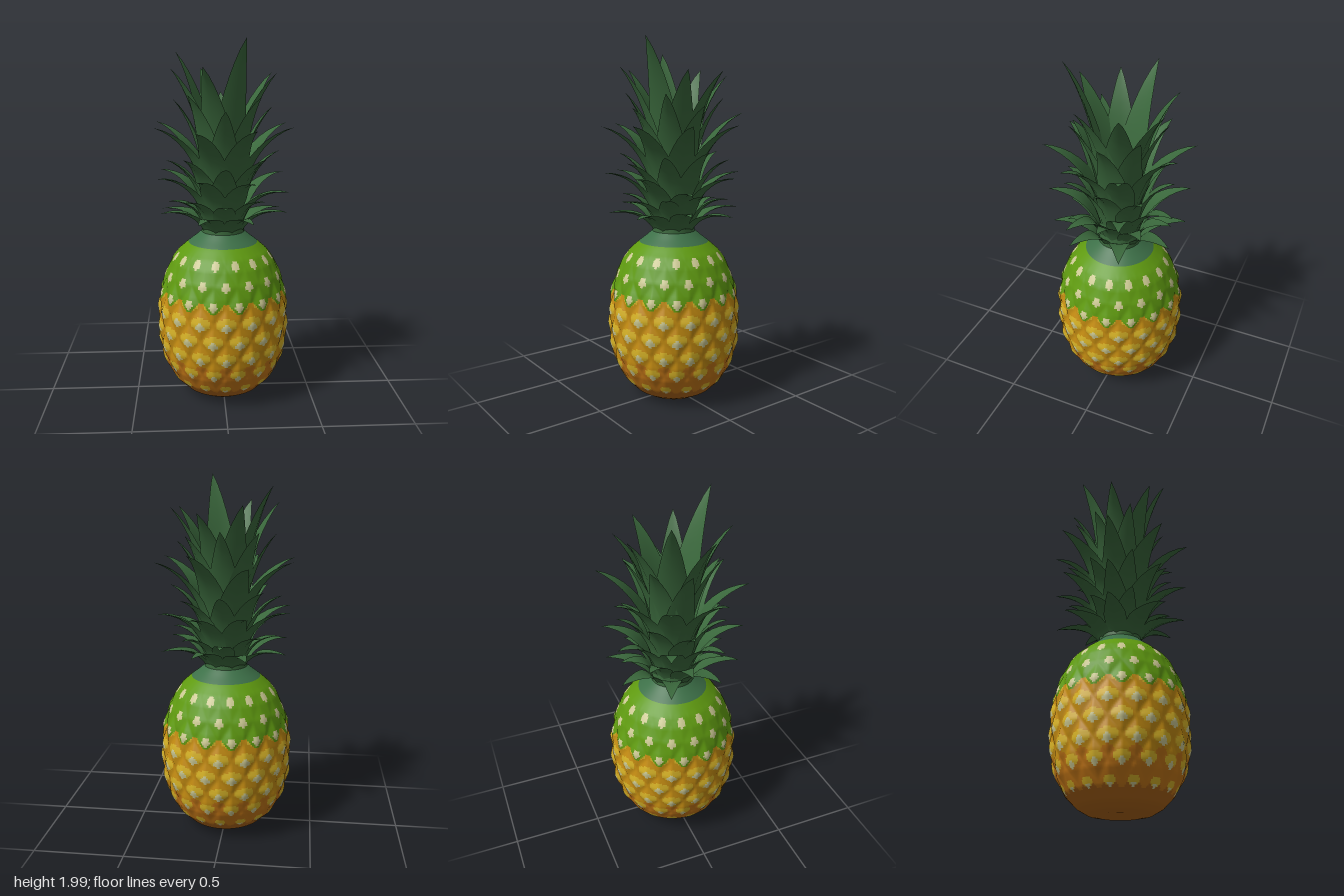
import * as THREE from 'three';

const paint = (name, color) => {
  const m = new THREE.MeshStandardMaterial({ color });
  m.name = name;
  return m;
};

// Fruit outline as [height, radius]
const PROFILE = [
  [0, 0.12], [0.01, 0.17], [0.04, 0.222], [0.1, 0.28], [0.18, 0.322], [0.26, 0.345],
  [0.35, 0.358], [0.45, 0.36], [0.55, 0.355], [0.65, 0.338], [0.72, 0.318], [0.79, 0.286],
  [0.84, 0.25], [0.885, 0.2], [0.92, 0.155], [0.95, 0.12],
];
const EYES = 16;          // eyes around each row
const ROW = 0.2;          // height of one diamond

function radiusAt(y) {
  for (let i = 1; i < PROFILE.length; i++) {
    const [y0, r0] = PROFILE[i - 1], [y1, r1] = PROFILE[i];
    if (y <= y1) return r0 + (r1 - r0) * (y - y0) / (y1 - y0);
  }
  return 0.12;
}

// Nearest eye in the staggered diamond lattice: offsets within its diamond
function nearestEye(theta, y) {
  const a = theta / (2 * Math.PI) * EYES, b = (y - 0.515) / ROW;
  let best = null;
  for (const s of [0, 0.5]) {
    const u = a - s - Math.round(a - s), v = b - s - Math.round(b - s);
    const d = 2 * (Math.abs(u) + Math.abs(v));
    if (!best || d < best.d) best = { u, v, d };
  }
  return best;
}

function bump(theta, y) {
  const size = 0.019 * THREE.MathUtils.smoothstep(y, 0.03, 0.3)
    * (1 - 0.75 * THREE.MathUtils.smoothstep(y, 0.6, 0.76))
    * (1 - THREE.MathUtils.smoothstep(y, 0.8, 0.88));
  return size * Math.max(0, 1 - nearestEye(theta, y).d);
}

// Colour slots: 0 cap, 1 green, 2 amber, 3 orange, 4 rust, 5 yellow, 6 cream
function skinColour(theta, y) {
  if (y > 0.885) return 0;
  const e = nearestEye(theta, y);
  const dx = e.u * 2 * Math.PI / EYES * radiusAt(y), dy = e.v * ROW;
  const wave = Math.cos(theta * EYES);
  const ragged = 1 + 0.15 * Math.sin(7 * Math.atan2(dy, dx));
  if (y > 0.605 + 0.03 * wave) return Math.hypot(dx, dy) < 0.022 * ragged ? 1 + 5 : 1;
  const k = THREE.MathUtils.clamp(0.35 + y * 1.9, 0.3, 1);
  if (y > 0.06) {
    if (Math.hypot(dx, dy + 0.014) < 0.023 * k * ragged) return 6;
    if (Math.hypot(dx / 0.054, (dy - 0.006) / 0.036) < k && dy > -0.022) return 5;
  }
  if (y > 0.25 + 0.03 * wave) return 2;
  return y > 0.11 + 0.02 * wave ? 3 : 4;
}

function fruitGeometry() {
  const N = 256, M = 95, pos = [], lists = [[], [], [], [], [], [], []];
  for (let j = -1; j <= M; j++) {
    const y = 0.95 * Math.max(j, 0) / M;
    for (let i = 0; i < N; i++) {
      const t = i / N * 2 * Math.PI;
      const r = j < 0 ? 0 : radiusAt(y) + bump(t, y);
      pos.push(r * Math.sin(t), y, r * Math.cos(t));
    }
  }
  for (let j = 0; j <= M; j++) {
    for (let i = 0; i < N; i++) {
      const a = j * N + i, b = j * N + (i + 1) % N, c = a + N, d = b + N;
      const slot = skinColour((i + 0.5) / N * 2 * Math.PI, Math.max(0, 0.95 * (j - 0.5) / M));
      lists[slot].push(b, d, c);
      if (j > 0) lists[slot].push(a, b, c);
    }
  }
  const g = new THREE.BufferGeometry();
  g.setAttribute('position', new THREE.Float32BufferAttribute(pos, 3));
  g.setIndex(lists.flat());
  let start = 0;
  lists.forEach((l, k) => { g.addGroup(start, l.length, k); start += l.length; });
  g.computeVertexNormals();
  return g;
}

// Pointed, cupped leaf bending outward; path given as (radius, height)
function leafGeometry(base, bend, tip, halfWidth) {
  const curve = new THREE.QuadraticBezierCurve(
    new THREE.Vector2(...base), new THREE.Vector2(...bend), new THREE.Vector2(...tip));
  const S = 10, pos = [], idx = [];
  for (const side of [0, 1]) {
    const first = pos.length / 3;
    for (let i = 0; i <= S; i++) {
      const t = i / S, p = curve.getPoint(t), d = curve.getTangent(t);
      const w = halfWidth * (t < 0.4 ? 0.7 + 0.3 * Math.sin(t / 0.4 * Math.PI / 2)
        : Math.pow((1 - t) / 0.6, 0.85));
      for (const s of [-1, 0, 1]) {
        const inward = s ? w * 0.32 : side * Math.min(0.012, w * 0.25);
        pos.push(s * w, p.y + d.x * inward, p.x - d.y * inward);
      }
    }
    for (let i = 0; i < S; i++) {
      for (let k = 0; k < 2; k++) {
        const a = first + i * 3 + k, b = a + 1, c = a + 3, e = a + 4;
        if (side) idx.push(a, c, b, b, c, e);
        else idx.push(a, b, c, b, e, c);
      }
    }
  }
  const g = new THREE.BufferGeometry();
  g.setAttribute('position', new THREE.Float32BufferAttribute(pos, 3));
  g.setIndex(idx);
  g.computeVertexNormals();
  return g;
}

export function createModel() {
  const model = new THREE.Group();
  model.name = 'pineapple';
  const leafGreen = paint('leaf green', 0x3a683c);
  const skin = [
    paint('cap green', 0x3d7048), paint('unripe green', 0x5f9a10), paint('amber', 0xc48c12),
    paint('orange', 0xc07416), paint('rust orange', 0xa96216), paint('yellow', 0xd4b026),
    paint('cream', 0xcbc892),
  ];

  const fruit = new THREE.Mesh(fruitGeometry(), skin);
  fruit.name = 'fruit';
  model.add(fruit);

  // Core that the leaves grow from
  const stem = new THREE.Mesh(new THREE.CylinderGeometry(0.085, 0.12, 0.5, 24), leafGreen);
  stem.position.y = 1.19;
  stem.name = 'stem';
  model.add(stem);

  // Leaf tiers, bottom to top; rise lists the tip height change of each of eight leaves
  const tiers = [
    { base: [0.105, 0.94], bend: [0.18, 1.08], tip: [0.37, 1.06], w: 0.062, turn: 0.5, rise: [0, 0.02, -0.01, 0.01, 0, -0.01, 0.02, 0] },
    { base: [0.1, 0.95], bend: [0.15, 1.13], tip: [0.3, 1.13], w: 0.062, turn: 0, rise: [0, 0.02, 0.04, 0, -0.02, 0.02, -0.01, 0.02] },
    { base: [0.1, 0.96], bend: [0.16, 1.25], tip: [0.385, 1.27], w: 0.07, turn: 0.5, rise: [0, -0.08, -0.01, 0, 0.01, 0.01, 0, 0.01] },
    { base: [0.1, 1.0], bend: [0.14, 1.3], tip: [0.31, 1.38], w: 0.075, turn: 0, rise: [-0.04, 0, 0.02, -0.03, 0, 0.02, -0.03, 0] },
    { base: [0.095, 1.05], bend: [0.15, 1.45], tip: [0.4, 1.54], w: 0.082, turn: 0.5, rise: [0, 0, 0, 0.06, 0, 0.01, 0, -0.01] },
    { base: [0.09, 1.1], bend: [0.12, 1.5], tip: [0.27, 1.68], w: 0.085, turn: 0, rise: [-0.05, 0.02, -0.04, 0, 0.03, 0.02, 0, 0.03] },
    { base: [0.08, 1.15], bend: [0.12, 1.6], tip: [0.3, 1.82], w: 0.09, turn: 0.5, rise: [0.17, 0, 0, -0.02, 0.02, 0.11, 0.02, 0.03] },
  ];
  const crown = new THREE.Group();
  crown.name = 'crown';
  tiers.forEach(({ base, bend, tip, w, turn, rise }) => {
    rise.forEach((dy, i) => {
      const pull = dy > 0.1 ? 0.025 : 0;
      const leaf = new THREE.Mesh(
        leafGeometry(base, [bend[0], bend[1] + dy * 0.6], [tip[0] - pull, tip[1] + dy], w), leafGreen);
      leaf.rotation.y = (i + turn) * Math.PI / 4;
      leaf.name = 'leaf';
      crown.add(leaf);
    });
  });
  model.add(crown);
  return model;
}
